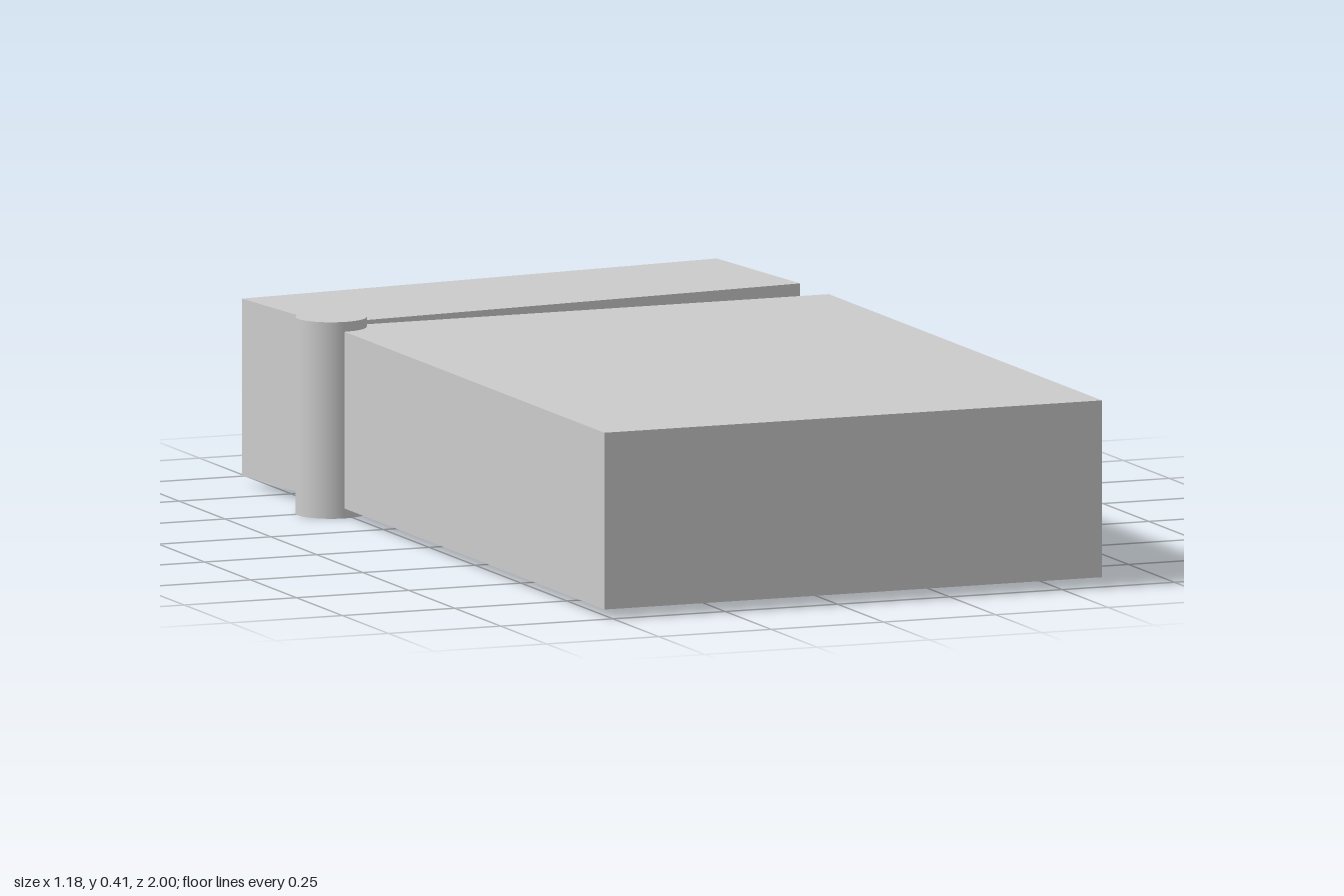
import * as THREE from 'three';

export function createModel() {
  const group = new THREE.Group();
  const material = new THREE.MeshStandardMaterial({ color: 0xcccccc });

  const add = (name, geometry, x, y, z, turn = 0) => {
    const mesh = new THREE.Mesh(geometry, material);
    mesh.name = name;
    mesh.position.set(x, y, z);
    mesh.rotation.y = turn;
    group.add(mesh);
  };

  const width = 1.108, height = 0.369, midY = 0.205;
  const hingeX = -0.519, hingeZ = -0.487;

  // Large block, with one back corner on the hinge axis
  const bodyDepth = 1 - hingeZ;
  add('body', new THREE.BoxGeometry(width, height, bodyDepth),
    hingeX + width / 2, midY, hingeZ + bodyDepth / 2);

  // Smaller block, swung slightly open around the hinge
  add('swingingBlock', new THREE.BoxGeometry(width, height, 0.366), 0.0175, midY, -0.765, 0.1);

  // Upright hinge pin, a little taller than the blocks
  add('hingePin', new THREE.CylinderGeometry(0.0735, 0.0735, 0.41, 48), hingeX, midY, hingeZ);

  return group;
}
